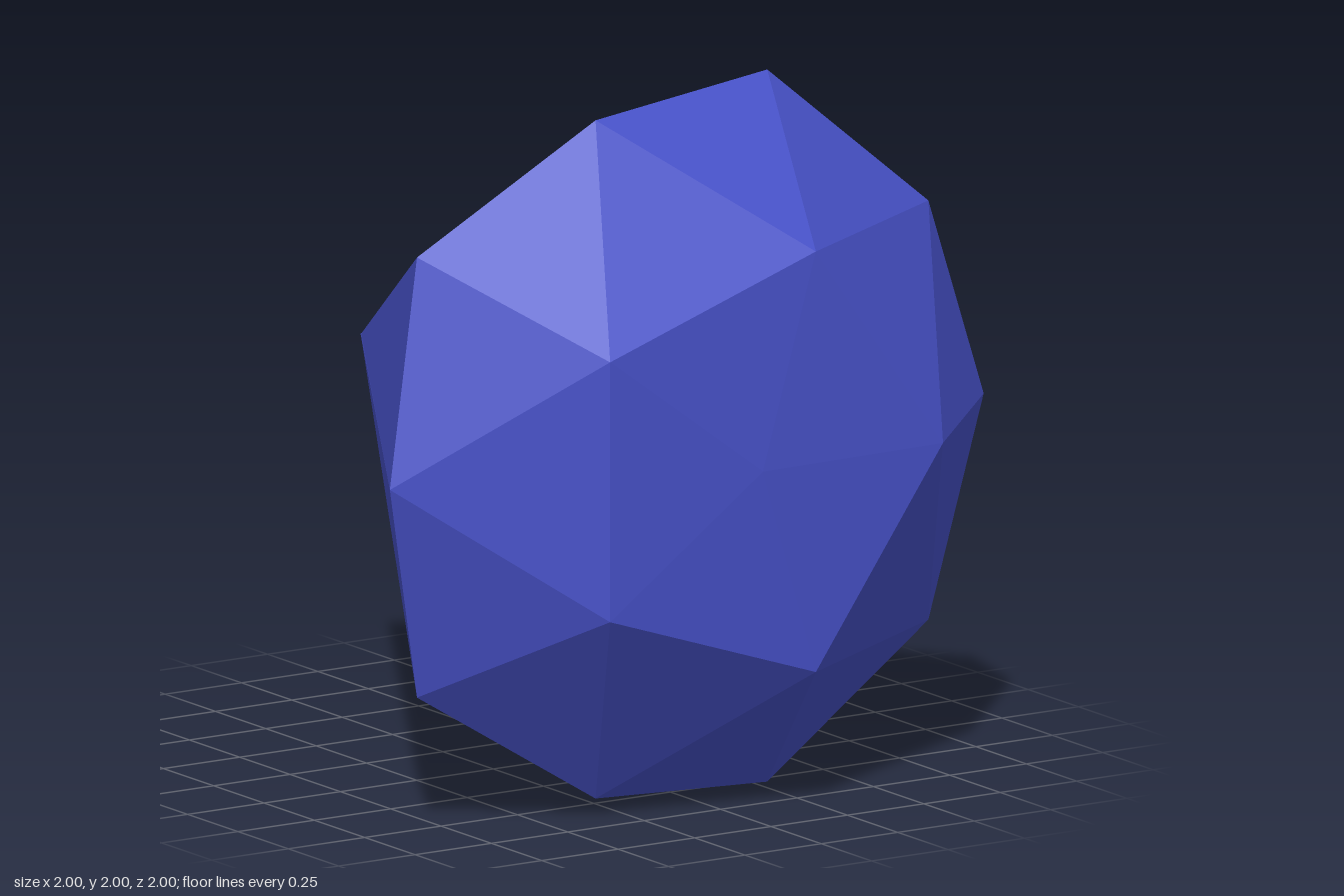
import * as THREE from 'three';

const CX = -0.026, CY = 1;

// Point on an ellipse around the gem's axis, angle in tenths of a turn
const at = (step, rx, ry, z) => {
  const a = step * Math.PI / 5;
  return [CX + rx * Math.cos(a), CY + ry * Math.sin(a), z];
};

function facets(name, triangles, material) {
  const geometry = new THREE.BufferGeometry();
  geometry.setAttribute('position', new THREE.Float32BufferAttribute(triangles.flat(2), 3));
  geometry.computeVertexNormals();
  const mesh = new THREE.Mesh(geometry, material);
  mesh.name = name;
  return mesh;
}

export function createModel() {
  const group = new THREE.Group();
  group.name = 'gem';
  const blue = new THREE.MeshStandardMaterial({ color: 0x4751c8, flatShading: true });
  blue.name = 'sapphireBlue';

  // Girdle corners alternate in radius and depth
  const girdle = (k) => k % 2 ? at(k, 0.974, 1.0, 0.625) : at(k, 1.025, 1.05, 0.54);
  const inner = (i) => at(2 * i, 0.602, 0.62, 0.98);
  const tipRing = (k) => at(k, 0.008, 0.008, -0.985);
  const front = [CX, CY, 1], tip = [CX, CY, -1];

  // Nearly flat five-sided table and the triangular crown around it
  const table = [], crown = [];
  for (let i = 0; i < 5; i++) {
    const a = inner(i), b = inner(i + 1);
    const g0 = girdle(2 * i), g1 = girdle(2 * i + 1), g2 = girdle(2 * i + 2);
    table.push([front, a, b]);
    crown.push([a, g0, g1], [a, g1, b], [g1, g2, b]);
  }

  // Long facets running back to a tiny blunt point
  const pavilion = [], point = [];
  for (let k = 0; k < 10; k++) {
    const a = girdle(k), b = girdle(k + 1), c = tipRing(k), d = tipRing(k + 1);
    pavilion.push([a, c, b], [b, c, d]);
    point.push([c, tip, d]);
  }

  group.add(
    facets('table', table, blue),
    facets('crown', crown, blue),
    facets('pavilion', pavilion, blue),
    facets('point', point, blue)
  );
  return group;
}
